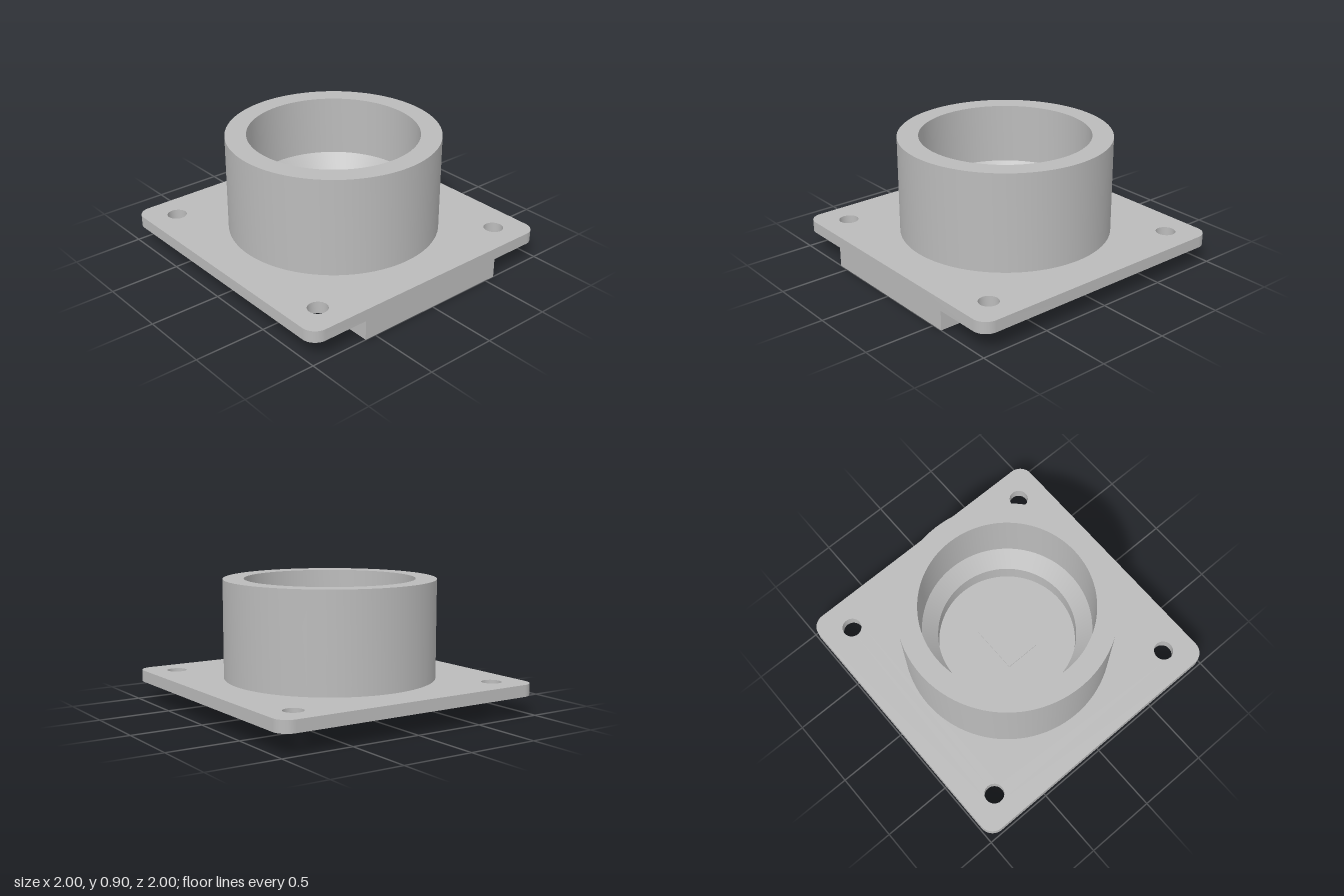
import * as THREE from 'three';
import { toCreasedNormals } from 'three/addons/utils/BufferGeometryUtils.js';

const PLATE_BOTTOM = 0.138, PLATE_TOP = 0.22, RIM = 0.905;

// Square flange with rounded corners and four bolt holes
function plateGeometry() {
  const r = 0.1, c = 1 - r;
  const shape = new THREE.Shape();
  shape.absarc(c, c, r, 0, Math.PI / 2);
  shape.absarc(-c, c, r, Math.PI / 2, Math.PI);
  shape.absarc(-c, -c, r, Math.PI, Math.PI * 1.5);
  shape.absarc(c, -c, r, Math.PI * 1.5, Math.PI * 2);
  shape.closePath();
  for (const x of [-0.79, 0.79]) {
    for (const y of [-0.79, 0.79]) {
      shape.holes.push(new THREE.Path().absarc(x, y, 0.068, 0, Math.PI * 2, true));
    }
  }
  const geo = new THREE.ExtrudeGeometry(shape, {
    depth: PLATE_TOP - PLATE_BOTTOM, bevelEnabled: false, curveSegments: 16,
  });
  geo.rotateX(-Math.PI / 2).translate(0, PLATE_BOTTOM, 0);
  return toCreasedNormals(geo, 0.5);
}

// Round socket: straight bore, conical seat, narrower bore down to the plate
function socketGeometry() {
  const profile = [
    [0.735, PLATE_TOP], [0.735, RIM], [0.59, RIM],
    [0.59, 0.48], [0.485, 0.36], [0.485, PLATE_TOP],
  ].map(([x, y]) => new THREE.Vector2(x, y));
  return toCreasedNormals(new THREE.LatheGeometry(profile, 96), 0.5);
}

export function createModel() {
  const grey = new THREE.MeshStandardMaterial({ color: 0xbbbbbb });
  grey.name = 'grey';

  const group = new THREE.Group();
  group.name = 'flangedSocket';
  const add = (name, geo, x = 0, y = 0, z = 0) => {
    const mesh = new THREE.Mesh(geo, grey);
    mesh.name = name;
    mesh.position.set(x, y, z);
    group.add(mesh);
  };

  add('mountingPlate', plateGeometry());
  add('socket', socketGeometry());

  // Thin rectangular pad on the socket floor
  add('floorPad', new THREE.BoxGeometry(0.34, 0.008, 0.25), 0, PLATE_TOP + 0.004, 0);

  // Locating lip under the front edge
  add('frontLip', new THREE.BoxGeometry(1.16, PLATE_BOTTOM, 0.28), 0, PLATE_BOTTOM / 2, 0.86);

  return group;
}
